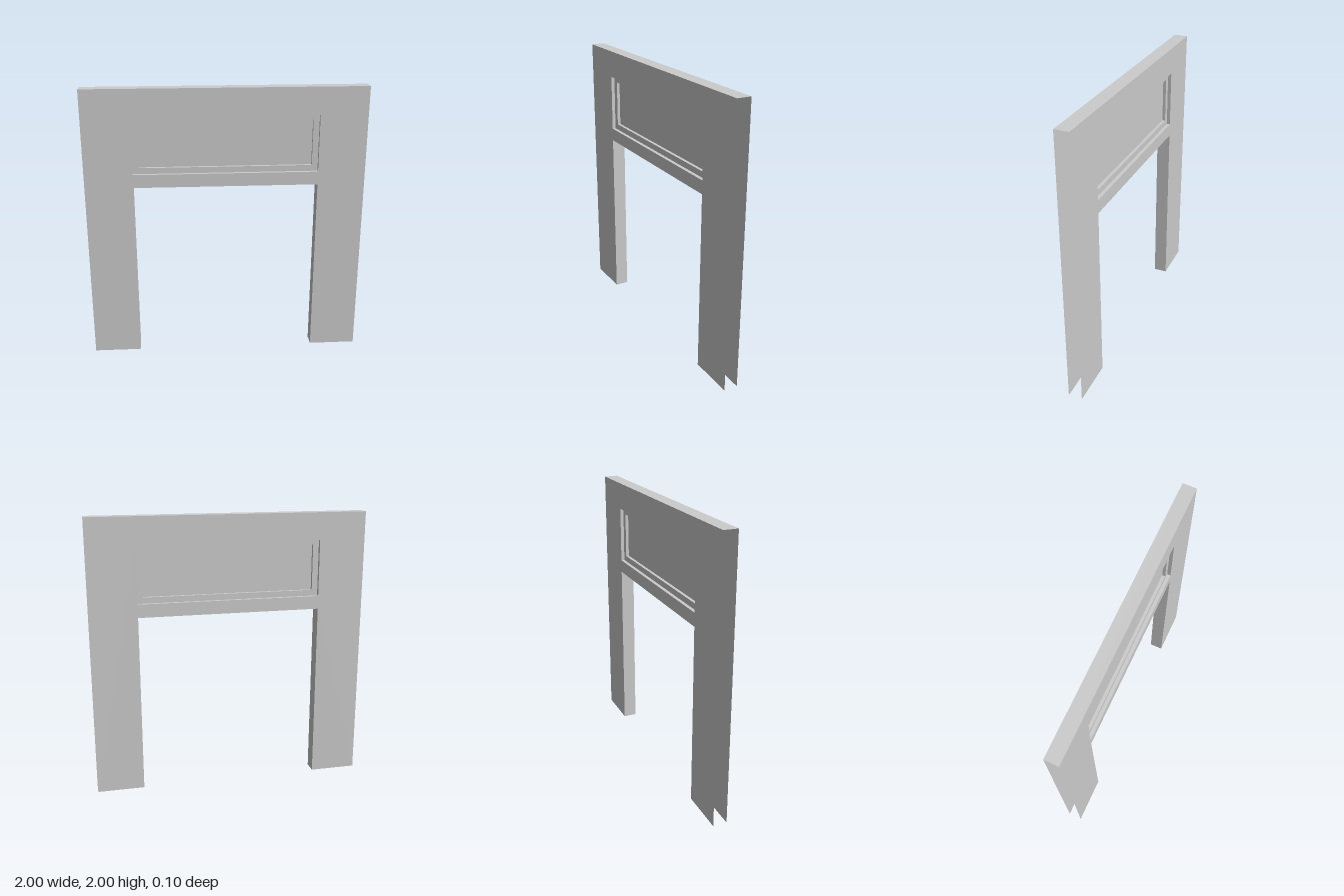
import * as THREE from 'three';

const material = new THREE.MeshStandardMaterial({ color: 0xcccccc, side: THREE.DoubleSide });
const HALF = 0.05;   // half thickness of the wall
const LEDGE = 0.025; // depth plane of the ledge around the panel
const FIELD = 0.003; // depth plane of the sunken panel

const rect = (w, y0, y1) => [[-w, y0], [-w, y1], [w, y1], [w, y0]];
const OPENING = [[-0.66, 0], [-0.66, 1.3], [0.66, 1.3], [0.66, 0]];
const OUTLINE = [[-1, 0], ...OPENING, [1, 0], [1, 2], [-1, 2]];
const RECESS = rect(0.66, 1.395, 1.805);
const PANEL = rect(0.617, 1.438, 1.768);

function mesh(name, geometry) {
  const m = new THREE.Mesh(geometry, material);
  m.name = name;
  return m;
}

// Flat face at depth z, optionally with a hole
function face(name, points, z, hole) {
  const toVectors = (list) => list.map(([x, y]) => new THREE.Vector2(x, y));
  const shape = new THREE.Shape(toVectors(points));
  if (hole) shape.holes.push(new THREE.Path(toVectors(hole)));
  return mesh(name, new THREE.ShapeGeometry(shape).translate(0, 0, z));
}

// Open strip of walls along a path, running from depth z0 to z1
function strip(name, points, z0, z1) {
  const positions = [];
  for (let i = 0; i < points.length - 1; i++) {
    const a = points[i], b = points[i + 1];
    positions.push(...a, z0, ...b, z0, ...b, z1, ...a, z0, ...b, z1, ...a, z1);
  }
  const geometry = new THREE.BufferGeometry();
  geometry.setAttribute('position', new THREE.Float32BufferAttribute(positions, 3));
  geometry.computeVertexNormals();
  return mesh(name, geometry);
}

// One side of the wall with its two-step recessed panel
function createSide(name) {
  const side = new THREE.Group();
  side.name = name;
  side.add(
    face('wallFace', OUTLINE, HALF, RECESS),
    strip('recessEdge', [...RECESS, RECESS[0]], LEDGE, HALF),
    face('recessLedge', RECESS, LEDGE, PANEL),
    strip('panelEdge', [...PANEL, PANEL[0]], FIELD, LEDGE),
    face('panel', PANEL, FIELD),
  );
  return side;
}

export function createModel() {
  const model = new THREE.Group();
  model.name = 'doorwayWall';

  // Matching front and back
  const back = createSide('backSide');
  back.rotation.y = Math.PI;
  model.add(createSide('frontSide'), back);

  // Top cap and doorway lining; the outer ends and the feet stay open
  model.add(
    strip('topCap', [[1, 2], [-1, 2]], -HALF, HALF),
    strip('doorwayLining', OPENING, -HALF, HALF),
  );
  return model;
}
